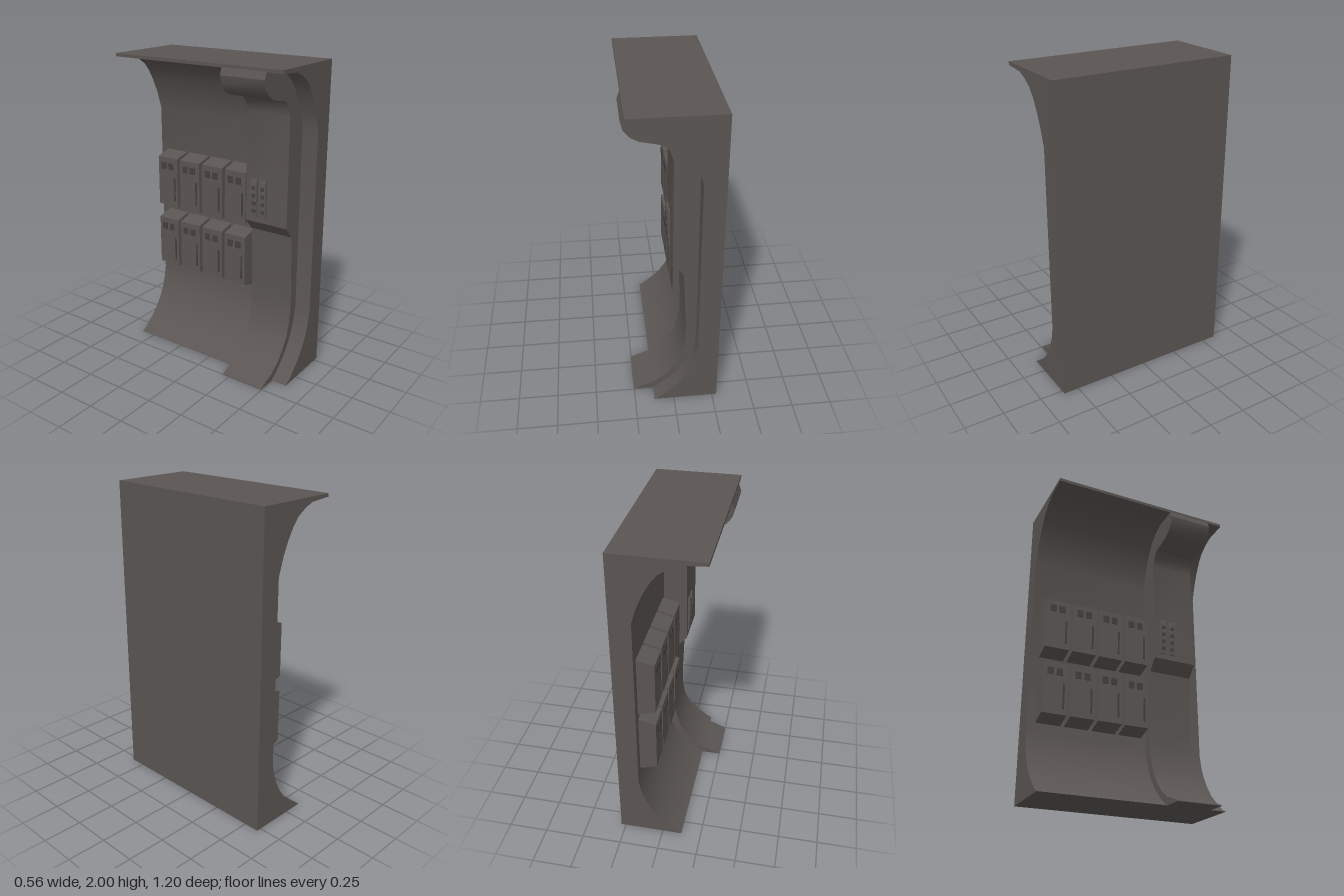
import * as THREE from 'three';
import { toCreasedNormals } from 'three/addons/utils/BufferGeometryUtils.js';

const panelGrey = new THREE.MeshStandardMaterial({ color: 0x5a5552 });
panelGrey.name = 'panelGrey';
const detailGrey = new THREE.MeshStandardMaterial({ color: 0x443f3d });
detailGrey.name = 'detailGrey';

// Extrude an x-y profile between two z positions
function extrude(name, points, z0, z1, material = panelGrey) {
  const shape = new THREE.Shape(points.map(([x, y]) => new THREE.Vector2(x, y)));
  const geometry = new THREE.ExtrudeGeometry(shape, { depth: z1 - z0, bevelEnabled: false });
  geometry.translate(0, 0, z0);
  const mesh = new THREE.Mesh(toCreasedNormals(geometry, 0.5), material);
  mesh.name = name;
  return mesh;
}

// Thin plate on a face that looks towards -x
function plate(name, x, y, z, height, width, depth = 0.006) {
  const mesh = new THREE.Mesh(new THREE.BoxGeometry(depth, height, width), detailGrey);
  mesh.position.set(x, y, z);
  mesh.name = name;
  return mesh;
}

// Locker with sloping top and bottom, two vents and a slot
function locker(y, z) {
  const group = new THREE.Group();
  group.name = 'locker';
  const width = 0.16;
  group.add(extrude('lockerBody', [
    [0.16, y - 0.037], [0.16, y + 0.367], [0.042, y + 0.335], [0.042, y],
  ], z, z + width));
  for (const offset of [0.045, 0.105]) {
    group.add(plate('lockerVent', 0.041, y + 0.275, z + offset, 0.045, 0.04));
  }
  group.add(plate('lockerSlot', 0.041, y + 0.12, z + 0.135, 0.16, 0.012));
  return group;
}

export function createModel() {
  const model = new THREE.Group();
  model.name = 'wallPanel';

  // Wall with coved ceiling and floor
  model.add(extrude('wall', [
    [0.28, 0], [0.28, 2], [-0.265, 2], [-0.265, 1.98], [-0.12, 1.97],
    [-0.06, 1.945], [0, 1.905], [0.04, 1.855], [0.08, 1.785], [0.115, 1.705],
    [0.15, 1.595], [0.15, 0.42], [0.135, 0.34], [0.11, 0.265], [0.075, 0.195],
    [0.03, 0.13], [-0.03, 0.07], [-0.09, 0.02], [-0.125, 0],
  ], -0.6, 0.6));

  // Rib standing out from the wall
  model.add(extrude('rib', [
    [0.2, 0], [0.2, 1.99], [-0.262, 1.99], [-0.282, 1.94], [-0.27, 1.89],
    [-0.235, 1.845], [-0.185, 1.818], [-0.055, 1.79], [-0.02, 1.755],
    [0, 1.695], [0, 1], [0.065, 0.925], [0.07, 0.86], [0.085, 0.52],
    [0.085, 0.42], [0.072, 0.33], [0.045, 0.235], [0, 0.165], [-0.055, 0.1],
    [-0.125, 0.05], [-0.18, 0.033], [-0.25, 0.003], [-0.25, 0],
  ], 0.2, 0.495));

  // Control strips on the rib
  const controls = new THREE.Group();
  controls.name = 'controls';
  for (const z of [0.24, 0.305]) {
    controls.add(extrude('controlStrip', [
      [0.003, 1.035], [0.003, 1.28], [-0.01, 1.28], [-0.018, 1.25], [-0.008, 1.035],
    ], z, z + 0.045));
    for (let i = 0; i < 4; i++) {
      controls.add(plate('controlButton', -0.01 - i * 0.0022, 1.075 + i * 0.05, z + 0.0225, 0.022, 0.025, 0.008));
    }
  }
  model.add(controls);

  // Two rows of four lockers
  for (const y of [0.518, 0.952]) {
    for (let i = 0; i < 4; i++) model.add(locker(y, -0.543 + i * 0.183));
  }
  return model;
}
